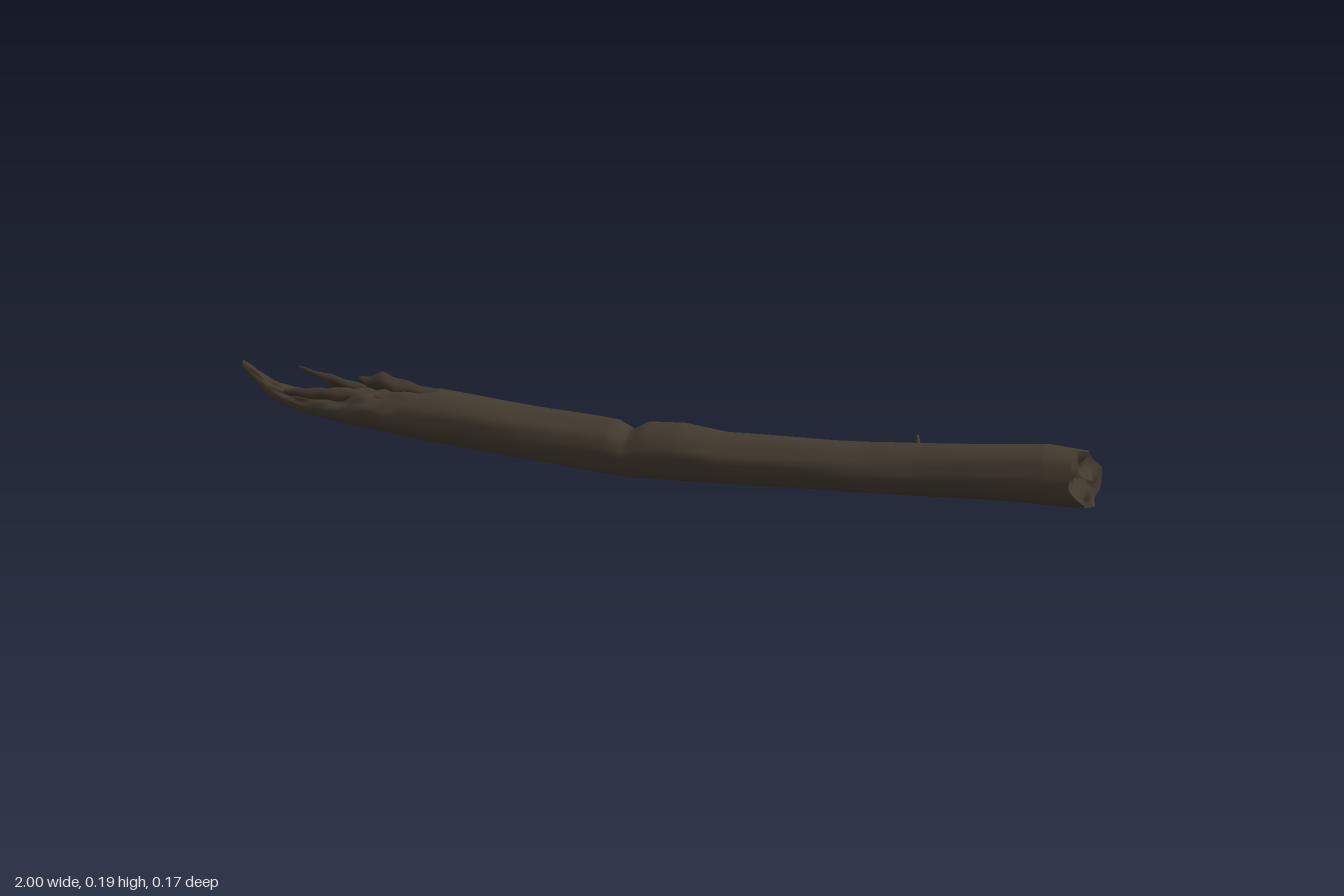
import * as THREE from 'three';

const bark = new THREE.MeshStandardMaterial({ color: 0x433a2f });
bark.name = 'bark';
const tornWood = new THREE.MeshStandardMaterial({ color: 0x3d342a });
tornWood.name = 'torn wood';

// Outline of the log: x, bottom, top, back, front
const TRUNK = [
  [-1.0, 0.172, 0.19, -0.006, 0.008], [-0.97, 0.14, 0.175, -0.012, 0.014],
  [-0.93, 0.107, 0.15, -0.014, 0.022], [-0.88, 0.09, 0.135, -0.022, 0.034],
  [-0.83, 0.077, 0.13, -0.036, 0.045], [-0.78, 0.069, 0.135, -0.062, 0.052],
  [-0.72, 0.06, 0.14, -0.08, 0.06], [-0.66, 0.052, 0.155, -0.086, 0.064],
  [-0.5, 0.034, 0.157, -0.081, 0.065], [-0.25, 0.016, 0.138, -0.071, 0.068],
  [-0.06, 0.006, 0.13, -0.059, 0.076], [-0.02, 0.004, 0.111, -0.055, 0.077],
  [0.02, 0.005, 0.134, -0.053, 0.079], [0.1, 0.009, 0.139, -0.052, 0.081],
  [0.2, 0.014, 0.125, -0.053, 0.08], [0.5, 0.019, 0.129, -0.06, 0.066],
  [0.63, 0.026, 0.137, -0.058, 0.067], [0.77, 0.034, 0.152, -0.045, 0.074],
  [0.9, 0.037, 0.165, -0.039, 0.078], [1.0, 0.038, 0.158, -0.036, 0.076],
];

// Interpolated outline row at x
function sample(rows, x) {
  let i = 0;
  while (i < rows.length - 2 && x > rows[i + 1][0]) i++;
  const t = (x - rows[i][0]) / (rows[i + 1][0] - rows[i][0]);
  return rows[i].map((v, k) => THREE.MathUtils.lerp(v, rows[i + 1][k], t));
}

function sectionPoint(rows, x, a, scale) {
  const [, y0, y1, z0, z1] = sample(rows, x);
  return new THREE.Vector3(
    x,
    (y0 + y1) / 2 + (y1 - y0) / 2 * Math.sin(a) * scale,
    (z0 + z1) / 2 + (z1 - z0) / 2 * Math.cos(a) * scale,
  );
}

// Closed grid of rings; point(i, a) gives each vertex
function ringGeometry(rings, sides, point) {
  const pos = [], index = [];
  for (let i = 0; i < rings; i++) {
    for (let j = 0; j < sides; j++) {
      pos.push(...point(i, j / sides * Math.PI * 2).toArray());
      if (i === rings - 1) continue;
      const k = (j + 1) % sides, a = i * sides, b = a + sides;
      index.push(a + j, b + j, b + k, a + j, b + k, a + k);
    }
  }
  const geo = new THREE.BufferGeometry();
  geo.setAttribute('position', new THREE.Float32BufferAttribute(pos, 3));
  geo.setIndex(index);
  geo.computeVertexNormals();
  return geo;
}

// Lengthwise grain, with a chewed upper surface toward the broken end
function barkScale(x, a) {
  const grain = 0.016 * Math.sin(5 * a + 4 * x) + 0.012 * Math.sin(9 * a - 7 * x + 1)
    + 0.012 * Math.sin(17 * x + 2 * a);
  const up = Math.max(0, Math.sin(a));
  const torn = up * THREE.MathUtils.smoothstep(-x, 0.45, 0.75);
  const chew = 0.1 * Math.sin(47 * x + 3 * a) + 0.09 * Math.sin(83 * x - 7 * a) + 0.06 * Math.sin(11 * a + 29 * x);
  const groove = 0.07 * Math.exp(-(((a - 1.75 - 0.2 * Math.sin(6 * x)) / 0.09) ** 2))
    * (0.5 + 0.5 * Math.sin(9 * x));
  return 0.985 + grain + torn * (chew - 0.06) - groove;
}

// Slanted, uneven cut at the blunt end
function cutEnd(p, x) {
  const t = THREE.MathUtils.smoothstep(x, 0.86, 1);
  const cut = 0.975 - 0.4 * (p.z - 0.02) - 0.25 * (p.y - 0.1)
    + 0.007 * Math.sin(90 * p.y + 40 * p.z) + 0.004 * Math.sin(170 * p.z);
  p.x += t * (Math.min(cut, 1) - 1);
  return p;
}

export function createModel() {
  const model = new THREE.Group();
  model.name = 'fallenLog';
  const add = (name, geo, mat) => {
    const mesh = new THREE.Mesh(geo, mat);
    mesh.name = name;
    model.add(mesh);
    return mesh;
  };

  // Trunk
  const RINGS = 220, SIDES = 48;
  add('trunk', ringGeometry(RINGS, SIDES, (i, a) => {
    const x = -1 + 2 * i / (RINGS - 1);
    return cutEnd(sectionPoint(TRUNK, x, a, barkScale(x, a)), x);
  }), bark);

  // Broken face of the blunt end, slightly lumpy and hollowed
  add('bluntEnd', ringGeometry(9, SIDES, (i, a) => {
    const s = 1 - i / 8;
    const p = cutEnd(sectionPoint(TRUNK, 1, a, barkScale(1, a) * s), 1);
    p.x -= (1 - s) * s * (0.025 + 0.02 * Math.sin(3 * a + 5 * s));
    return p;
  }), bark);

  // Splinters: outlines lofted the same way as the trunk
  const splinters = {
    upperSplinter: [[-0.875, 0.172, 0.177, -0.044, -0.039], [-0.84, 0.156, 0.17, -0.046, -0.034],
      [-0.78, 0.135, 0.162, -0.05, -0.026], [-0.68, 0.115, 0.14, -0.055, -0.02]],
    backSplinter: [[-0.79, 0.112, 0.126, -0.086, -0.08], [-0.765, 0.1, 0.132, -0.09, -0.074],
      [-0.7, 0.088, 0.132, -0.089, -0.06], [-0.58, 0.09, 0.12, -0.084, -0.05]],
    crestShred: [[-0.71, 0.155, 0.168, -0.04, -0.02], [-0.68, 0.145, 0.172, -0.045, 0.0],
      [-0.645, 0.14, 0.187, -0.04, 0.012], [-0.6, 0.138, 0.172, -0.045, 0.018],
      [-0.5, 0.13, 0.155, -0.03, 0.01]],
    frontShred: [[-0.88, 0.125, 0.135, 0.024, 0.032], [-0.83, 0.115, 0.143, 0.014, 0.04],
      [-0.75, 0.115, 0.148, 0.008, 0.042], [-0.6, 0.12, 0.14, 0.01, 0.04]],
    tipSplinter: [[-0.955, 0.13, 0.136, -0.02, -0.014], [-0.91, 0.11, 0.135, -0.024, -0.008],
      [-0.82, 0.09, 0.125, -0.036, 0]],
  };
  for (const [name, rows] of Object.entries(splinters)) {
    const x0 = rows[0][0], x1 = rows[rows.length - 1][0], n = 22;
    add(name, ringGeometry(n + 2, 10, (i, a) => {
      // The first and last rings close the ends
      const t = THREE.MathUtils.clamp((i - 1) / (n - 1), 0, 1);
      const x = x0 + (x1 - x0) * t;
      const s = i === 0 || i === n + 1 ? 0 : 0.95 + 0.12 * Math.sin(90 * x + 2 * a);
      return sectionPoint(rows, x, a, s);
    }), tornWood);
  }

  // Small twig stub on the upper back
  const twig = add('twigStub', new THREE.CylinderGeometry(0.003, 0.007, 0.045, 8), bark);
  twig.position.set(0.61, 0.122, -0.045);
  twig.rotation.set(-0.7, 0, 0.25);

  return model;
}
